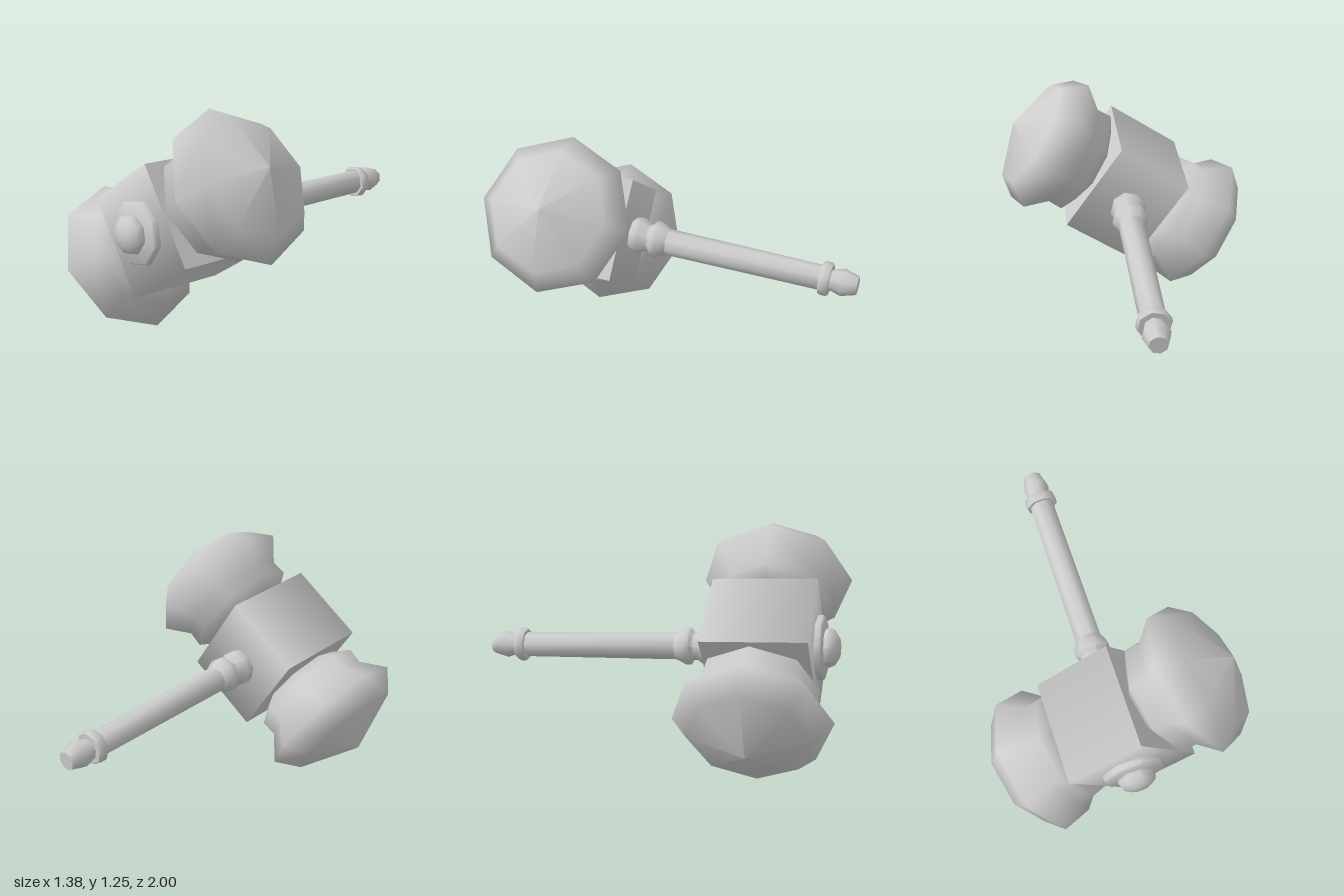
import * as THREE from 'three';
import { toCreasedNormals } from 'three/addons/utils/BufferGeometryUtils.js';

const SIDES = 8;
const material = new THREE.MeshStandardMaterial({ color: 0xcccccc });

// Eight-sided turned part from [radius, height] pairs, listed bottom to top
const turned = (profile) =>
  new THREE.LatheGeometry(profile.map(([r, h]) => new THREE.Vector2(r, h)), SIDES);

export function createModel() {
  const hammer = new THREE.Group();
  hammer.name = 'hammer';

  const add = (name, geometry) => {
    const mesh = new THREE.Mesh(geometry, material);
    mesh.name = name;
    hammer.add(mesh);
  };

  // Square block in the middle of the head, softly shaded around its sides
  const block = new THREE.CylinderGeometry(0.393, 0.393, 0.46, 4, 1, false, Math.PI / 4);
  add('headBlock', block.rotateZ(-Math.PI / 2));

  // Flared striking ends, one on each side of the block
  const strikerProfile = [
    [0, 0.22], [0.23, 0.235], [0.32, 0.297], [0.315, 0.382],
    [0.413, 0.507], [0.317, 0.625], [0, 0.745],
  ];
  for (const [name, side] of [['leftStriker', 1], ['rightStriker', -1]]) {
    add(name, turned(strikerProfile).rotateZ(-side * Math.PI / 2));
  }

  // Parts turned around the handle axis
  const addAlongHandle = (name, profile) =>
    add(name, toCreasedNormals(turned(profile).rotateX(Math.PI / 2), 1.0));

  addAlongHandle('pommel', [
    [0, -1.545], [0.05, -1.545], [0.056, -1.525], [0.074, -1.465], [0.056, -1.405], [0.056, -1.39],
  ]);
  addAlongHandle('pommelRing', [
    [0, -1.4], [0.085, -1.4], [0.092, -1.385], [0.092, -1.36], [0.085, -1.345], [0, -1.345],
  ]);
  addAlongHandle('handleShaft', [[0.068, -1.36], [0.073, -0.46]]);
  addAlongHandle('handleCollar', [
    [0.073, -0.485], [0.1, -0.43], [0.1, -0.4], [0.076, -0.385],
    [0.076, -0.365], [0.1, -0.33], [0.1, -0.305], [0.09, -0.27],
  ]);

  // Plate and rounded knob on the front of the head
  addAlongHandle('frontPlate', [
    [0, 0.265], [0.17, 0.265], [0.17, 0.307], [0.16, 0.317], [0, 0.317],
  ]);
  addAlongHandle('frontKnob', [
    [0.09, 0.31], [0.105, 0.335], [0.092, 0.367], [0.05, 0.393], [0, 0.398],
  ]);

  // Tilted pose: x along the head, z along the handle
  const zAxis = new THREE.Vector3(0.088, 0.049, 0.995).normalize();
  const yAxis = zAxis.clone().cross(new THREE.Vector3(0.822, 0.56, -0.1)).normalize();
  const xAxis = yAxis.clone().cross(zAxis);
  hammer.quaternion.setFromRotationMatrix(new THREE.Matrix4().makeBasis(xAxis, yAxis, zAxis));
  hammer.position.set(0, 0.63, 0.54);

  const model = new THREE.Group();
  model.name = 'tiltedHammer';
  model.add(hammer);
  return model;
}
